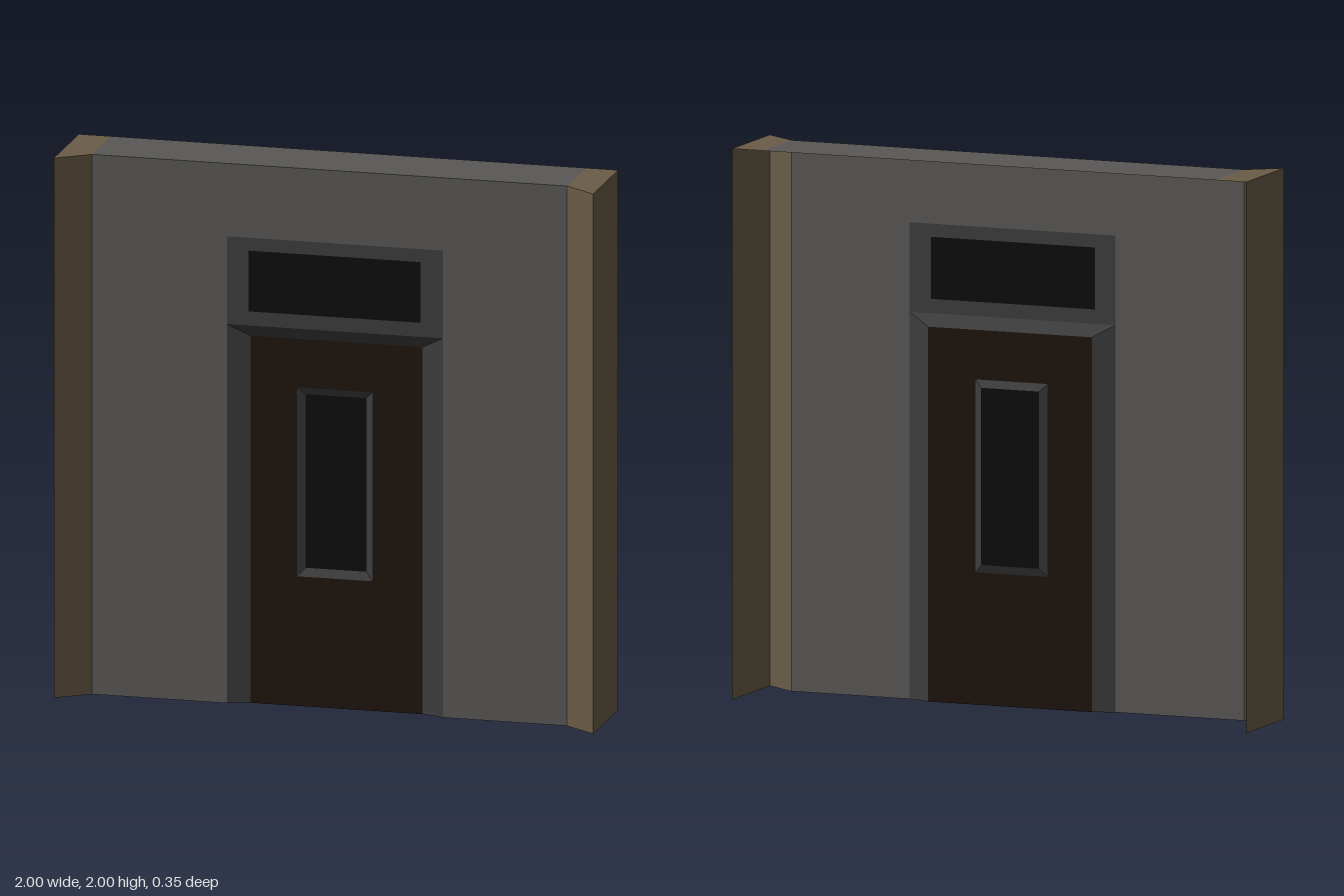
import * as THREE from 'three';

const H = 2, BACK = -0.176, EDGE = 0.176;      // height and depth limits
const WALL = 0.09, DOOR = 0.062, PANE = 0.048; // depths of the front planes

const mat = (color) => new THREE.MeshStandardMaterial({ color, flatShading: true, side: THREE.DoubleSide });
const plaster = mat(0x5a5857), stone = mat(0x6a5c46), trim = mat(0x3e3e3e);
const wood = mat(0x1e140d), glass = mat(0x0d0d0d);

// Rectangle corners, clockwise from bottom left
const rect = (x0, x1, y0, y1) => [[x0, y0], [x0, y1], [x1, y1], [x1, y0]];
const at = (pts, z) => pts.map(([x, y]) => [x, y, z]);

export function createModel() {
  const group = new THREE.Group();
  const add = (name, geometry, material) => {
    const mesh = new THREE.Mesh(geometry, material);
    mesh.name = name;
    group.add(mesh);
    return mesh;
  };

  // Flat upright panel with optional hole
  const panel = (name, pts, z, material, hole) => {
    const toV = (p) => p.map(([x, y]) => new THREE.Vector2(x, y));
    const shape = new THREE.Shape(toV(pts));
    if (hole) shape.holes.push(new THREE.Path(toV(hole)));
    add(name, new THREE.ShapeGeometry(shape), material).position.z = z;
  };

  // Band of quads between two lines of points
  const strip = (name, a, b, material) => {
    const pos = [];
    for (let i = 0; i < a.length - 1; i++) {
      pos.push(...a[i], ...b[i], ...b[i + 1], ...a[i], ...b[i + 1], ...a[i + 1]);
    }
    const g = new THREE.BufferGeometry();
    g.setAttribute('position', new THREE.Float32BufferAttribute(pos, 3));
    g.computeVertexNormals();
    add(name, g, material);
  };

  // Key outlines
  const frame = rect(-0.38, 0.42, 0, 1.73);
  const recess = rect(-0.38, 0.42, 0, 1.405);
  const doorway = rect(-0.3, 0.337, 0, 1.36);
  const transom = rect(-0.3, 0.337, 1.457, 1.682);
  const windowOuter = rect(-0.128, 0.152, 0.48, 1.18);
  const windowInner = rect(-0.1, 0.125, 0.51, 1.153);

  // Wall around the door frame, and its top; back and underside are open
  panel('wall', [[-0.88, 0], [-0.88, H], [0.88, H], [0.88, 0], ...[...frame].reverse()], WALL, plaster);
  strip('wallTop', [[-0.88, H, BACK], [0.88, H, BACK]], [[-0.88, H, WALL], [0.88, H, WALL]], plaster);

  // Side piers with a splayed front edge
  for (const s of [1, -1]) {
    const side = s > 0 ? 'left' : 'right';
    const plan = [[s, BACK], [s, EDGE], [s * 0.88, WALL]];
    if (s < 0) plan.reverse();
    strip(side + 'Pier', plan.map(([x, z]) => [x, 0, z]), plan.map(([x, z]) => [x, H, z]), stone);
    const ends = [[s * 0.88, WALL], [s, EDGE]];
    if (s < 0) ends.reverse();
    strip(side + 'PierTop', ends.map(([x]) => [x, H, BACK]), ends.map(([x, z]) => [x, H, z]), stone);
  }

  // Door frame: flat surround above, splayed jambs and lintel below
  panel('transomFrame', rect(-0.38, 0.42, 1.405, 1.73), WALL, trim, transom);
  panel('transomGlass', transom, WALL, glass);
  strip('doorFrame', at(recess, WALL), at(doorway, DOOR), trim);

  // Door with a bevelled window
  panel('door', doorway, DOOR, wood, windowOuter);
  const closed = (p) => [...p, p[0]];
  strip('windowFrame', at(closed(windowOuter), DOOR), at(closed(windowInner), PANE), trim);
  panel('windowGlass', windowInner, PANE, glass);

  return group;
}
